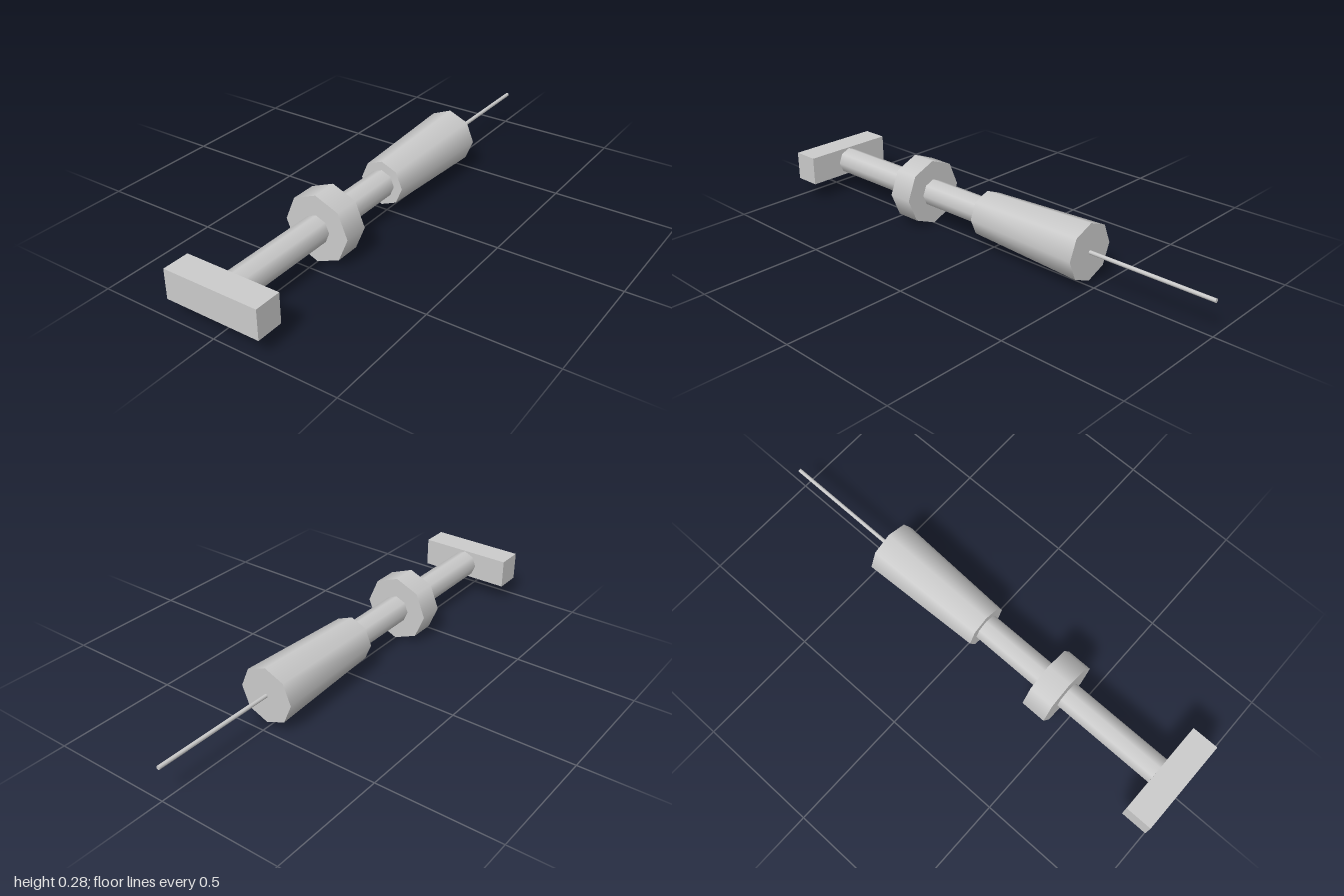
import * as THREE from 'three';

const AXIS_Y = 0.138;

export function createModel() {
  const group = new THREE.Group();
  const material = new THREE.MeshStandardMaterial({ color: 0xcccccc });

  const add = (name, geometry, y, z) => {
    const mesh = new THREE.Mesh(geometry, material);
    mesh.name = name;
    mesh.position.set(0, y, z);
    group.add(mesh);
  };

  // Eight-sided turned part lying along z, from zBack to zFront
  const turned = (name, rFront, rBack, zFront, zBack) => {
    const geometry = new THREE.CylinderGeometry(rFront, rBack, zFront - zBack, 8);
    geometry.rotateX(Math.PI / 2);
    add(name, geometry, AXIS_Y, (zFront + zBack) / 2);
  };

  // Crossbar at the front end
  add('crossbarHandle', new THREE.BoxGeometry(0.396, 0.12, 0.11), 0.139, 0.945);

  // Plunger rod, finger collar, tapered barrel and thin needle
  turned('plungerRod', 0.057, 0.057, 0.9, 0.02);
  turned('collar', 0.138, 0.138, 0.45, 0.345);
  turned('barrel', 0.094, 0.116, 0.037, -0.475);
  turned('needle', 0.008, 0.008, -0.46, -1);

  return group;
}
